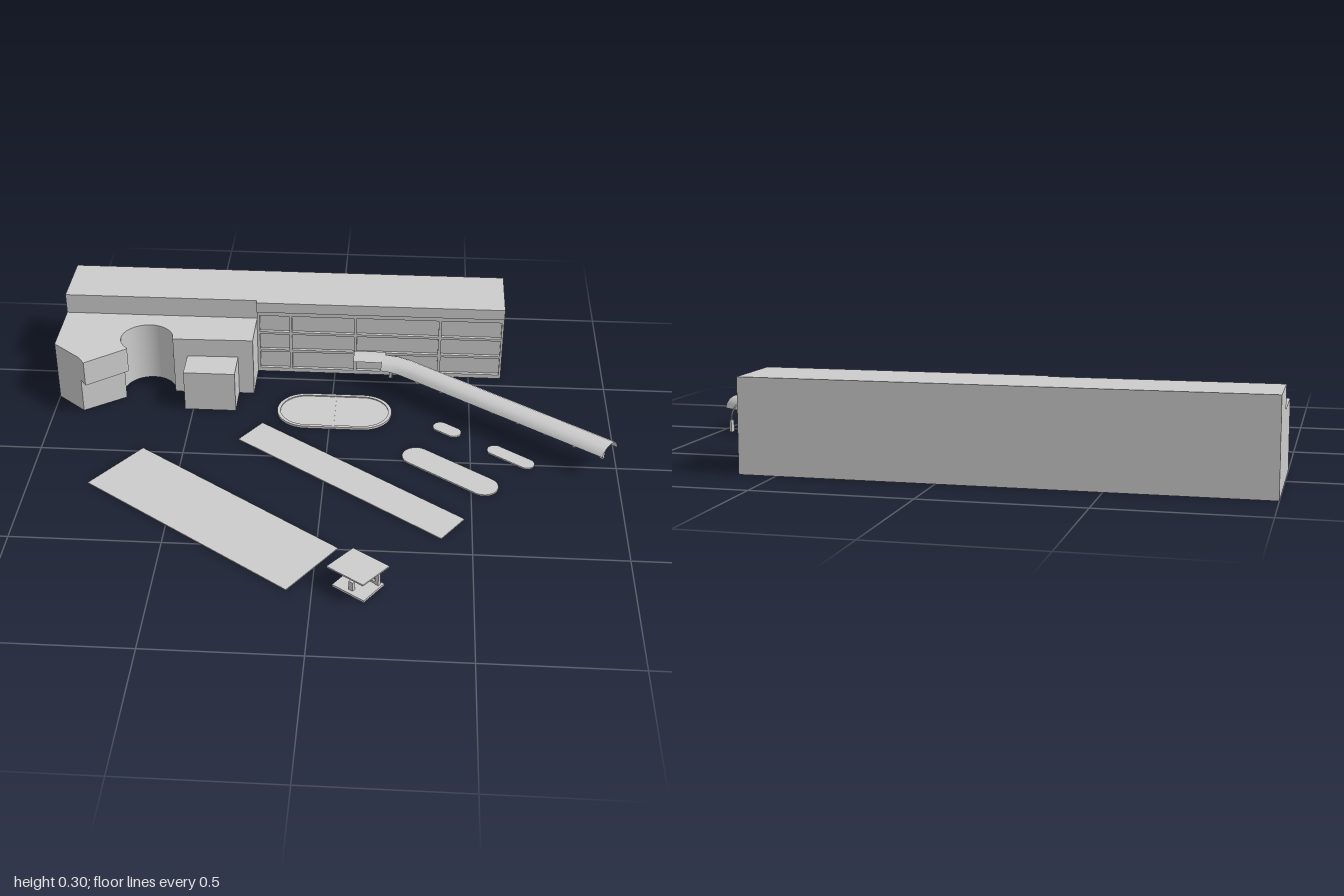
import * as THREE from 'three';

const grey = new THREE.MeshStandardMaterial({ color: 0xcccccc });
const greySheet = new THREE.MeshStandardMaterial({ color: 0xcccccc, side: THREE.DoubleSide });
const TILT = 0.615; // the plaza runs at about 35 degrees to the building

function add(parent, name, geometry, material = grey) {
  const mesh = new THREE.Mesh(geometry, material);
  mesh.name = name;
  parent.add(mesh);
  return mesh;
}

// box given by its limits on each axis
function block(parent, name, x0, x1, y0, y1, z0, z1) {
  const mesh = add(parent, name, new THREE.BoxGeometry(x1 - x0, y1 - y0, z1 - z0));
  mesh.position.set((x0 + x1) / 2, (y0 + y1) / 2, (z0 + z1) / 2);
  return mesh;
}

// plan shape (x, -z) raised from y0 to y1
function slab(parent, name, shape, y0, y1) {
  const geometry = new THREE.ExtrudeGeometry(shape, { depth: y1 - y0, bevelEnabled: false, curveSegments: 20 });
  geometry.rotateX(-Math.PI / 2);
  const mesh = add(parent, name, geometry);
  mesh.position.y = y0;
  return mesh;
}

function polygon(points) {
  return new THREE.Shape(points.map(([x, z]) => new THREE.Vector2(x, -z)));
}

// pill outline: straight run s, width w
function pill(s, w, Kind = THREE.Shape) {
  const p = new Kind();
  p.moveTo(-s / 2, -w / 2);
  p.lineTo(s / 2, -w / 2);
  p.absarc(s / 2, 0, w / 2, -Math.PI / 2, Math.PI / 2, false);
  p.absarc(-s / 2, 0, w / 2, Math.PI / 2, Math.PI * 1.5, false);
  return p;
}

function rectPath(x0, x1, y0, y1) {
  const p = new THREE.Path();
  p.moveTo(x0, y0);
  p.lineTo(x0, y1);
  p.lineTo(x1, y1);
  p.lineTo(x1, y0);
  p.closePath();
  return p;
}

function mainBuilding() {
  const g = new THREE.Group();
  g.name = 'mainBuilding';
  block(g, 'mainBlock', -1, 0.62, 0, 0.3, -0.786, -0.563);
  block(g, 'blockFrontStrip', -1, -0.29, 0, 0.3, -0.563, -0.557);
  block(g, 'parapet', -0.29, 0.62, 0.26, 0.3, -0.563, -0.54);

  // window grid standing proud of the glazing
  const grid = polygon([[-0.29, 0], [0.62, 0], [0.62, -0.26], [-0.29, -0.26]]);
  const columns = [[-0.28, -0.17], [-0.16, 0.07], [0.08, 0.382], [0.393, 0.612]];
  const rows = [[0.016, 0.086], [0.096, 0.162], [0.172, 0.24]];
  for (const [x0, x1] of columns)
    for (const [y0, y1] of rows) grid.holes.push(rectPath(x0, x1, y0, y1));
  const frame = add(g, 'windowGrid', new THREE.ExtrudeGeometry(grid, { depth: 0.013, bevelEnabled: false }));
  frame.position.z = -0.564;
  return g;
}

// wing outline with a round bite and a slanted nose
function wingShape(nose, arcEnd) {
  const s = new THREE.Shape();
  s.moveTo(-1, 0.56);
  s.lineTo(-1, 0.33);
  for (const [x, z] of nose) s.lineTo(x, -z);
  const end = THREE.MathUtils.degToRad(arcEnd);
  s.absarc(-0.675, 0.39, 0.094, end, 0, true);
  s.lineTo(-0.29, 0.395);
  s.lineTo(-0.29, 0.56);
  s.closePath();
  return s;
}

function wing() {
  const g = new THREE.Group();
  g.name = 'sideWing';
  slab(g, 'wingLower', wingShape([[-0.895, -0.242], [-0.76, -0.335]], 213), 0, 0.13);
  slab(g, 'wingUpper', wingShape([[-0.895, -0.242], [-0.872, -0.208], [-0.738, -0.31]], 230), 0.13, 0.225);
  block(g, 'entranceBox', -0.53, -0.345, 0, 0.155, -0.4, -0.275);
  return g;
}

// arched sheet: stations [x, z, heading x, heading z, half width], section [across, y]
function archedSheet(stations, section) {
  const pos = [], index = [], n = section.length;
  stations.forEach(([x, z, dx, dz, half], i) => {
    const len = Math.hypot(dx, dz);
    section.forEach(([s, y], j) => {
      pos.push(x + (s * half * dz) / len, y, z - (s * half * dx) / len);
      if (i && j) {
        const a = (i - 1) * n + j - 1, b = i * n + j - 1;
        index.push(a, b, a + 1, b, b + 1, a + 1);
      }
    });
  });
  const geometry = new THREE.BufferGeometry();
  geometry.setAttribute('position', new THREE.Float32BufferAttribute(pos, 3));
  geometry.setIndex(index);
  geometry.computeVertexNormals();
  return geometry;
}

function walkway() {
  const g = new THREE.Group();
  g.name = 'coveredWalkway';
  const section = [[-1, 0.093], [-0.85, 0.107], [-0.55, 0.117], [-0.1, 0.121], [0.35, 0.118],
    [0.7, 0.108], [0.9, 0.094], [1, 0.077]];
  const flat = section.map(([s, y]) => [s, 0.104 + (y - 0.077) * 0.38]);
  add(g, 'walkwayRoof', archedSheet([
    [0.18, -0.484, 1, 0.12, 0.055], [0.225, -0.474, 1, 0.32, 0.055],
    [0.265, -0.454, 1, 0.55, 0.054], [0.31, -0.423, 1, 0.684, 0.053],
    [0.968, 0.027, 1, 0.684, 0.053]], section), greySheet);
  add(g, 'walkwayLink', archedSheet([[0.073, -0.5, 1, 0.03, 0.04], [0.19, -0.497, 1, 0.03, 0.04]], flat), greySheet);

  // posts along the back edge, each with a bent arm up to the roof
  const posts = [[0.21, -0.535], [0.31, -0.5], [0.4, -0.443], [0.49, -0.383], [0.583, -0.32],
    [0.676, -0.256], [0.77, -0.192], [0.866, -0.123], [0.957, -0.06]];
  const arm = new THREE.CatmullRomCurve3([
    new THREE.Vector3(0, 0.035, 0), new THREE.Vector3(0, 0.062, 0.001),
    new THREE.Vector3(0, 0.08, 0.01), new THREE.Vector3(0, 0.1, 0.026)]);
  posts.forEach(([x, z], i) => {
    const post = new THREE.Group();
    post.name = 'walkwayPost';
    block(post, 'postBase', -0.006, 0.006, 0, 0.042, -0.006, 0.006);
    add(post, 'postArm', new THREE.TubeGeometry(arm, 8, 0.003, 6));
    post.position.set(x, 0, z);
    post.rotation.y = i ? -TILT : -0.2;
    g.add(post);
  });
  return g;
}

function plaza() {
  const g = new THREE.Group();
  g.name = 'plaza';
  // oval island with a raised kerb and a line across the middle
  const oval = new THREE.Group();
  oval.name = 'ovalIsland';
  slab(oval, 'ovalBed', pill(0.2, 0.208), 0, 0.005);
  const kerb = pill(0.2, 0.214);
  kerb.holes.push(pill(0.2, 0.19, THREE.Path));
  slab(oval, 'ovalKerb', kerb, 0, 0.009);
  block(oval, 'ovalDivider', -0.003, 0.003, 0, 0.007, -0.1, 0.1);
  oval.position.set(0.013, 0, -0.285);
  g.add(oval);

  // slanted islands: x, z, straight run, width
  for (const [x, z, run, width] of [[0.42, -0.195, 0.055, 0.055], [0.64, -0.04, 0.13, 0.055], [0.428, 0.056, 0.28, 0.1]]) {
    const island = slab(g, 'island', pill(run, width), 0, 0.006);
    island.position.set(x, 0, z);
    island.rotation.y = -TILT;
  }
  slab(g, 'narrowBed', polygon([[-0.24, -0.198], [-0.315, -0.09], [0.4, 0.428], [0.476, 0.32]]), 0, 0.004);
  slab(g, 'wideBed', polygon([[-0.642, -0.016], [-0.797, 0.198], [-0.08, 0.711], [0.07, 0.497]]), 0, 0.004);
  return g;
}

function shelter() {
  const g = new THREE.Group();
  g.name = 'shelter';
  block(g, 'shelterBase', -0.062, 0.062, 0, 0.008, -0.055, 0.05);
  for (const x of [-0.048, 0.048]) block(g, 'shelterPost', x - 0.006, x + 0.006, 0, 0.07, -0.046, -0.034);
  block(g, 'shelterBeam', -0.054, 0.054, 0.064, 0.073, -0.046, -0.034);
  block(g, 'shelterSill', -0.048, 0.048, 0.008, 0.016, -0.044, -0.036);
  block(g, 'ticketPost', -0.008, 0.008, 0, 0.04, 0.024, 0.036);
  // roof rising to the front
  const roof = block(g, 'shelterRoof', -0.071, 0.071, 0.076, 0.081, -0.067, 0.067);
  roof.rotation.x = -0.09;
  g.position.set(0.141, 0, 0.677);
  g.rotation.y = -TILT;
  return g;
}

export function createModel() {
  const model = new THREE.Group();
  model.name = 'stationSite';
  model.add(mainBuilding(), wing(), walkway(), plaza(), shelter());
  return model;
}
